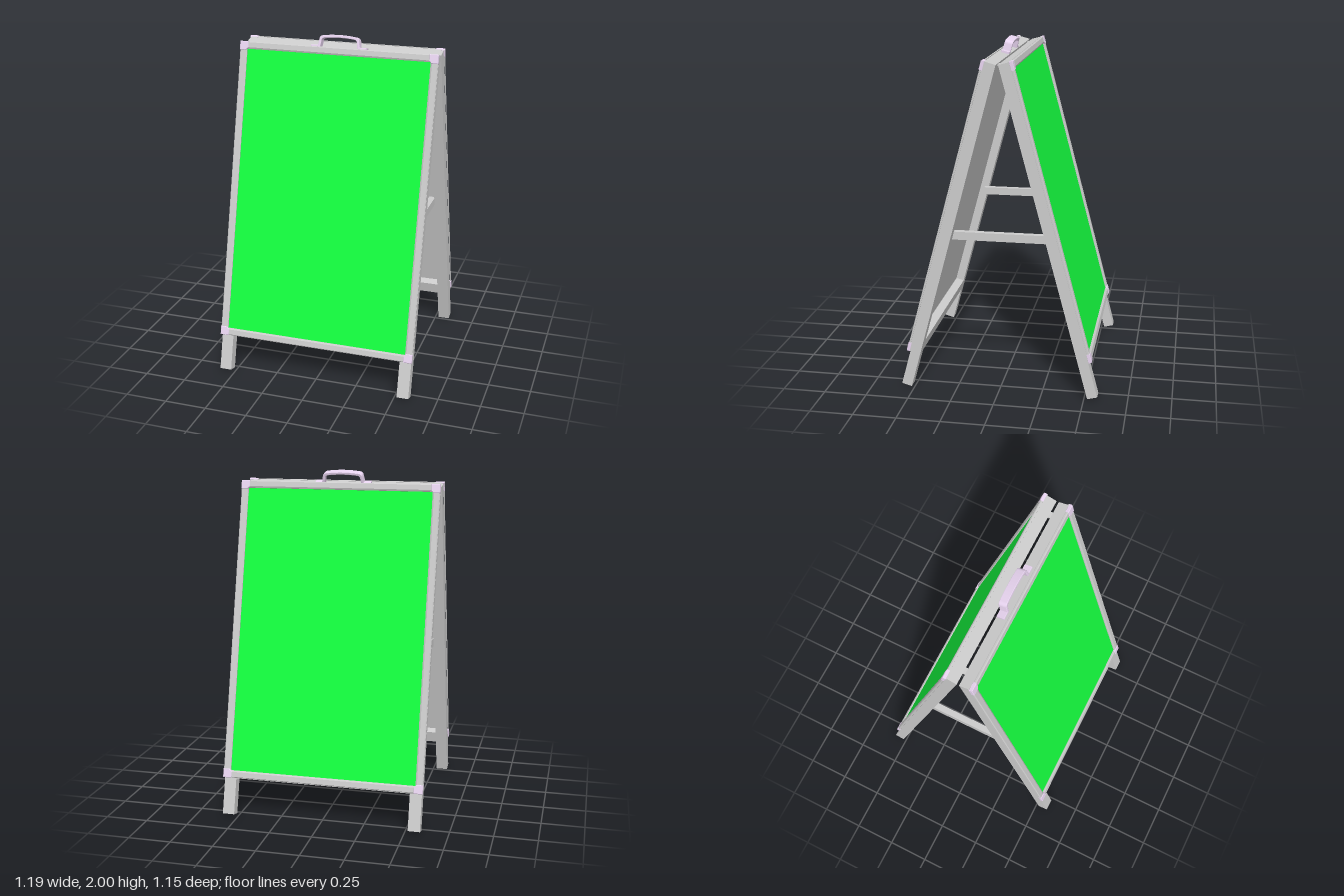
import * as THREE from 'three';

const grey = new THREE.MeshStandardMaterial({ color: 0xcccccc });
const green = new THREE.MeshStandardMaterial({ color: 0x14ff3f });
const lilac = new THREE.MeshStandardMaterial({ color: 0xe8d4f0 });

const TILT = THREE.MathUtils.degToRad(15);
const LEG = { length: 1.98, width: 0.07, depth: 0.06, outer: 0.59 };
const PANEL = { x: 0.595, bottom: 0.217, top: 1.982 };

function add(parent, name, geometry, material, x = 0, y = 0, z = 0) {
  const mesh = new THREE.Mesh(geometry, material);
  mesh.name = name;
  mesh.position.set(x, y, z);
  parent.add(mesh);
  return mesh;
}

// Box given by its min and max corners
function box(parent, name, material, [x0, y0, z0], [x1, y1, z1]) {
  return add(parent, name, new THREE.BoxGeometry(x1 - x0, y1 - y0, z1 - z0), material,
    (x0 + x1) / 2, (y0 + y1) / 2, (z0 + z1) / 2);
}

// Mitred poster frame: rectangular rings, each [inset, depth], joined by flat faces
function posterFrame() {
  const profile = [[0, 0.058], [0, 0.065], [0.005, 0.065], [0.005, 0.069], [0, 0.069],
    [0, 0.075], [0.005, 0.08], [0.034, 0.08], [0.043, 0.074], [0.043, 0.062]];
  const corner = ([inset, z], j) => {
    const x = PANEL.x - inset;
    return [j === 1 || j === 2 ? x : -x, j > 1 ? PANEL.top - inset : PANEL.bottom + inset, z];
  };
  const pos = [];
  for (let i = 0; i < profile.length - 1; i++) {
    for (let j = 0; j < 4; j++) {
      const k = (j + 1) % 4;
      const a = corner(profile[i], j), b = corner(profile[i], k);
      const c = corner(profile[i + 1], k), d = corner(profile[i + 1], j);
      pos.push(...a, ...b, ...c, ...a, ...c, ...d);
    }
  }
  const geometry = new THREE.BufferGeometry();
  geometry.setAttribute('position', new THREE.Float32BufferAttribute(pos, 3));
  geometry.computeVertexNormals();
  return geometry;
}

// Corner cap with a chamfered inner corner; sx, sy point outward
function cornerCap(sx, sy) {
  const s = 0.052, c = 0.014;
  const points = [[0, 0], [-s, 0], [-s, -s + c], [-s + c, -s], [0, -s]]
    .map(([x, y]) => new THREE.Vector2(x * sx, y * sy));
  return new THREE.ExtrudeGeometry(new THREE.Shape(points), {
    depth: 0.016, bevelEnabled: true, bevelThickness: 0.003, bevelSize: 0.003,
    bevelOffset: -0.003, bevelSegments: 1,
  });
}

// One leaf of the stand, upright, with its display side towards +z
function createLeaf(name) {
  const leaf = new THREE.Group();
  leaf.name = name;
  const inner = LEG.outer - LEG.width;
  for (const s of [-1, 1]) {
    const xs = [s * inner, s * LEG.outer].sort((a, b) => a - b);
    box(leaf, s > 0 ? 'leftLeg' : 'rightLeg', grey, [xs[0], 0, 0], [xs[1], LEG.length, LEG.depth]);
  }
  box(leaf, 'bottomRail', grey, [-inner, 0.213, 0], [inner, 0.283, LEG.depth]);
  box(leaf, 'topRail', grey, [-inner, LEG.length - 0.07, 0], [inner, LEG.length, LEG.depth]);
  box(leaf, 'backingBoard', grey, [-0.56, 0.24, 0.052], [0.56, 1.96, 0.064]);
  box(leaf, 'displaySheet', green, [-0.556, 0.256, 0.064], [0.556, 1.943, 0.068]);
  add(leaf, 'posterFrame', posterFrame(), grey);
  for (const sx of [-1, 1]) {
    for (const sy of [-1, 1]) {
      add(leaf, 'cornerCap', cornerCap(sx, sy), lilac,
        sx * (PANEL.x + 0.001), sy > 0 ? PANEL.top + 0.001 : PANEL.bottom - 0.001, 0.064);
    }
  }
  leaf.rotation.x = -TILT;
  leaf.position.z = 0.519;
  return leaf;
}

// Carrying handle: arched strap with a flat foot at each end
function createHandle() {
  const s = new THREE.Shape();
  s.moveTo(-0.168, 0);
  s.lineTo(-0.168, 0.012);
  s.lineTo(-0.126, 0.012);
  s.lineTo(-0.12, 0.048);
  s.quadraticCurveTo(-0.117, 0.066, -0.098, 0.069);
  s.quadraticCurveTo(0, 0.083, 0.098, 0.069);
  s.quadraticCurveTo(0.117, 0.066, 0.12, 0.048);
  s.lineTo(0.126, 0.012);
  s.lineTo(0.168, 0.012);
  s.lineTo(0.168, 0);
  s.lineTo(0.112, 0);
  s.lineTo(0.106, 0.04);
  s.quadraticCurveTo(0.104, 0.052, 0.09, 0.054);
  s.quadraticCurveTo(0, 0.066, -0.09, 0.054);
  s.quadraticCurveTo(-0.104, 0.052, -0.106, 0.04);
  s.lineTo(-0.112, 0);
  s.closePath();
  return new THREE.ExtrudeGeometry(s, {
    depth: 0.042, curveSegments: 10, bevelEnabled: true, bevelThickness: 0.003,
    bevelSize: 0.003, bevelOffset: -0.003, bevelSegments: 2,
  });
}

export function createModel() {
  const model = new THREE.Group();
  model.name = 'sandwichBoard';

  // Two leaves leaning together
  const front = createLeaf('frontLeaf');
  add(front, 'handle', createHandle(), lilac, 0, LEG.length, 0.006);
  const backTurn = new THREE.Group();
  backTurn.name = 'backSide';
  backTurn.rotation.y = Math.PI;
  backTurn.add(createLeaf('backLeaf'));
  model.add(front, backTurn);

  // Spreader bars and hinges between the leaves
  for (const s of [-1, 1]) {
    add(model, 'spreaderBar', new THREE.BoxGeometry(0.037, 0.047, 0.58), grey, s * 0.502, 0.922, 0);
    add(model, 'hinge', new THREE.BoxGeometry(0.037, 0.01, 0.024), grey, s * 0.502, 1.902, 0);
  }
  return model;
}
